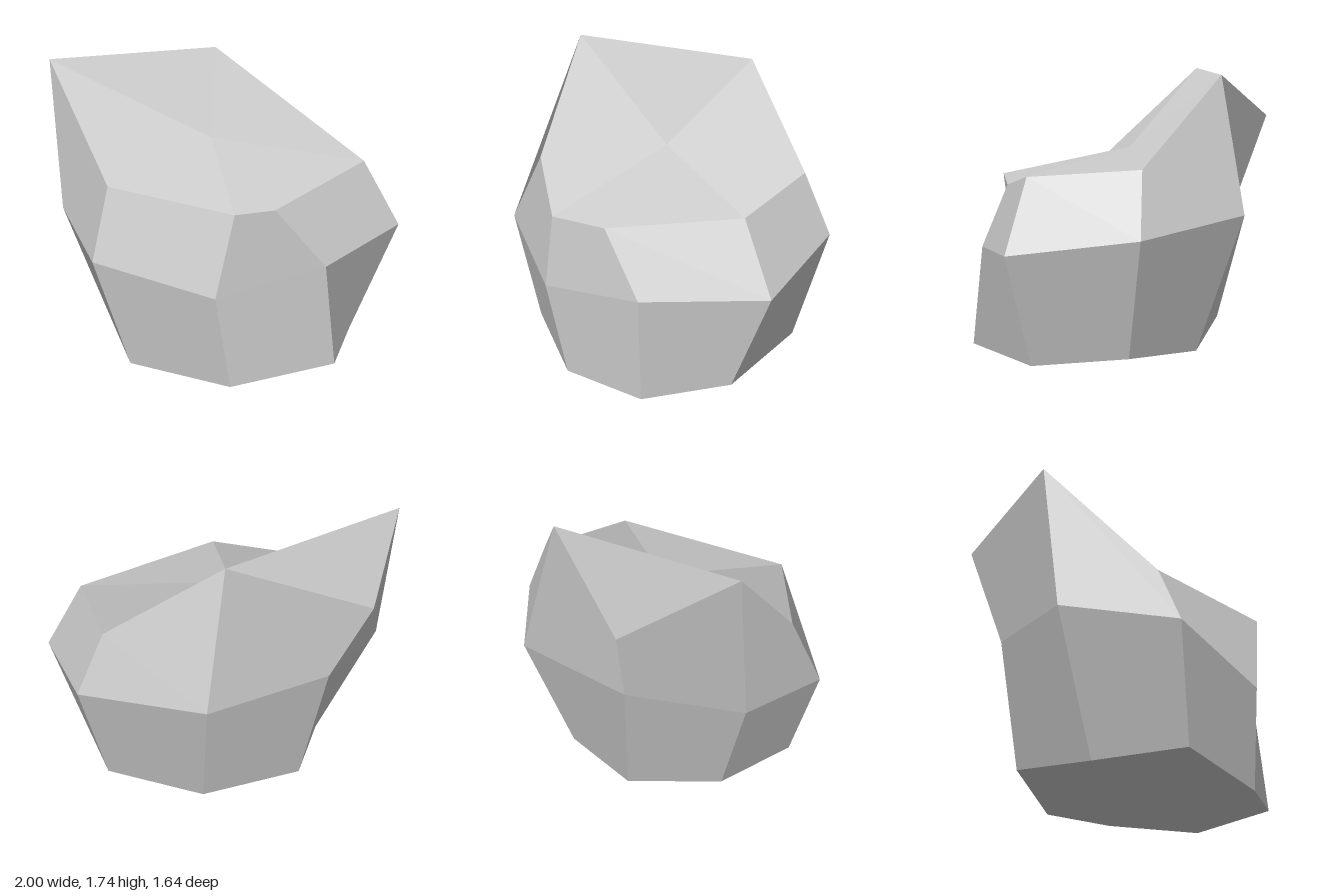
import * as THREE from 'three';

// Boulder lattice: three layers (bottom to top), each a 3x3 grid,
// rows running back to front and columns from -x to +x.
const LAYERS = [
  [
    [[-0.50, 0.22, -0.42], [0.06, 0.15, -0.55], [0.62, 0.22, -0.43]],
    [[-0.64, 0.14, 0.11], [0.05, 0, 0.12], [0.73, 0.13, 0.12]],
    [[-0.55, 0.16, 0.61], [0, 0.08, 0.75], [0.58, 0.155, 0.63]],
  ],
  [
    [[-0.63, 0.95, -0.48], [0.03, 0.94, -0.82], [0.74, 0.875, -0.565]],
    [[-0.955, 0.89, 0.07], null, [1, 0.78, 0.09]],
    [[-0.73, 0.78, 0.66], [-0.08, 0.63, 0.82], [0.52, 0.72, 0.60]],
  ],
  [
    [[-0.82, 1.45, -0.59], [-0.06, 1.70, -0.63], [0.59, 1.22, -0.49]],
    [[-1, 1.74, -0.02], [-0.095, 1.28, -0.03], [0.78, 1.17, 0.10]],
    [[-0.65, 1.15, 0.50], [0.02, 1.09, 0.81], [0.24, 1.05, 0.62]],
  ],
];

// The six sides of the lattice: u x v points outward
const SIDES = [
  { u: [1, 0, 0], v: [0, 0, -1] }, // top
  { u: [1, 0, 0], v: [0, 0, 1] },  // bottom
  { u: [1, 0, 0], v: [0, 1, 0] },  // front
  { u: [0, 1, 0], v: [1, 0, 0] },  // back
  { u: [0, 1, 0], v: [0, 0, 1] },  // +x side
  { u: [0, 1, 0], v: [0, 0, -1] }, // -x side
];

function boulderGeometry() {
  const positions = [], normals = [];
  for (const side of SIDES) {
    const u = new THREE.Vector3(...side.u), v = new THREE.Vector3(...side.v);
    const n = u.clone().cross(v);
    const point = (i, j) => {
      const g = n.clone().addScaledVector(u, i).addScaledVector(v, j).round();
      return new THREE.Vector3(...LAYERS[g.y + 1][g.z + 1][g.x + 1]);
    };
    // Four facets per side, each a folded quad with a single normal
    for (const i of [-1, 0]) for (const j of [-1, 0]) {
      const a = point(i, j), b = point(i + 1, j), c = point(i + 1, j + 1), d = point(i, j + 1);
      const normal = c.clone().sub(a).cross(d.clone().sub(b)).normalize();
      for (const p of [a, b, c, a, c, d]) {
        positions.push(p.x, p.y, p.z);
        normals.push(normal.x, normal.y, normal.z);
      }
    }
  }
  const geometry = new THREE.BufferGeometry();
  geometry.setAttribute('position', new THREE.Float32BufferAttribute(positions, 3));
  geometry.setAttribute('normal', new THREE.Float32BufferAttribute(normals, 3));
  return geometry;
}

export function createModel() {
  const stone = new THREE.MeshStandardMaterial({ color: 0xcccccc });
  stone.name = 'stone grey';

  const boulder = new THREE.Mesh(boulderGeometry(), stone);
  boulder.name = 'boulder';

  const model = new THREE.Group();
  model.name = 'rock';
  model.add(boulder);
  return model;
}
